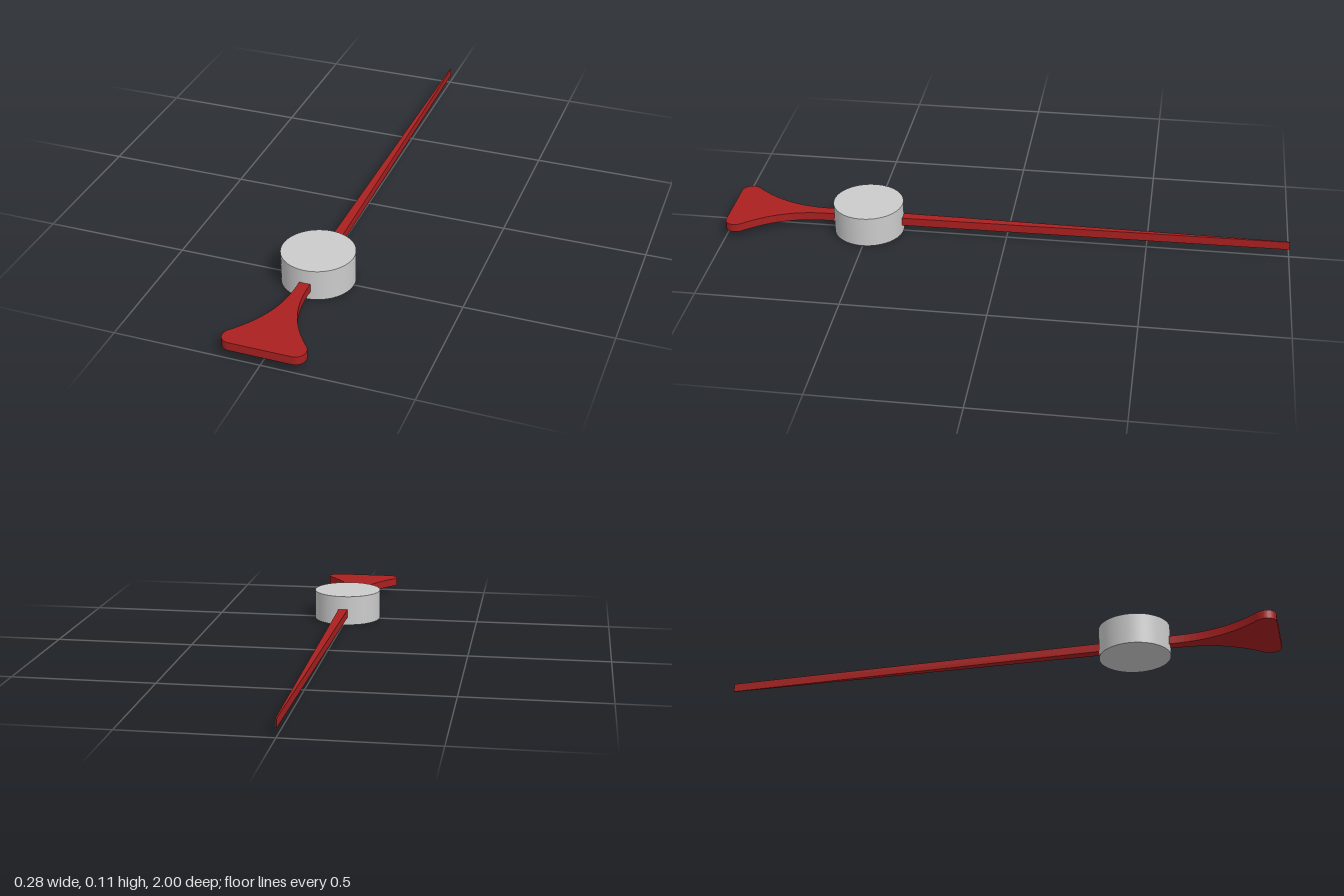
import * as THREE from 'three';

export function createModel() {
  const group = new THREE.Group();
  const grey = new THREE.MeshStandardMaterial({ color: 0xcccccc });
  const red = new THREE.MeshStandardMaterial({ color: 0xaa2020 });
  const hubZ = 0.5;

  // Hub: a short round boss
  const hub = new THREE.Mesh(new THREE.CylinderGeometry(0.125, 0.125, 0.11, 64), grey);
  hub.name = 'hub';
  hub.position.set(0, 0.055, hubZ);
  group.add(hub);

  // Extrudes an outline drawn in (x, -z) upwards into a flat plate
  const addPlate = (name, shape) => {
    const geometry = new THREE.ExtrudeGeometry(shape, { depth: 0.03, bevelEnabled: false, curveSegments: 16 });
    geometry.rotateX(-Math.PI / 2);
    const mesh = new THREE.Mesh(geometry, red);
    mesh.name = name;
    mesh.position.y = 0.03;
    group.add(mesh);
  };

  // Needle: long taper running back from the hub
  const needle = new THREE.Shape();
  needle.moveTo(-0.019, -hubZ);
  needle.lineTo(0.019, -hubZ);
  needle.lineTo(0.002, 1);
  needle.lineTo(-0.002, 1);
  needle.closePath();
  addPlate('needle', needle);

  // Tail: counterweight flaring forward with rounded corners
  const tail = new THREE.Shape();
  tail.moveTo(0.019, -hubZ);
  tail.lineTo(-0.019, -hubZ);
  tail.lineTo(-0.019, -0.65);
  tail.bezierCurveTo(-0.02, -0.78, -0.065, -0.865, -0.132, -0.94);
  tail.bezierCurveTo(-0.15, -0.967, -0.135, -1, -0.105, -1);
  tail.lineTo(0.105, -1);
  tail.bezierCurveTo(0.135, -1, 0.15, -0.967, 0.132, -0.94);
  tail.bezierCurveTo(0.065, -0.865, 0.02, -0.78, 0.019, -0.65);
  tail.closePath();
  addPlate('tail', tail);

  return group;
}
